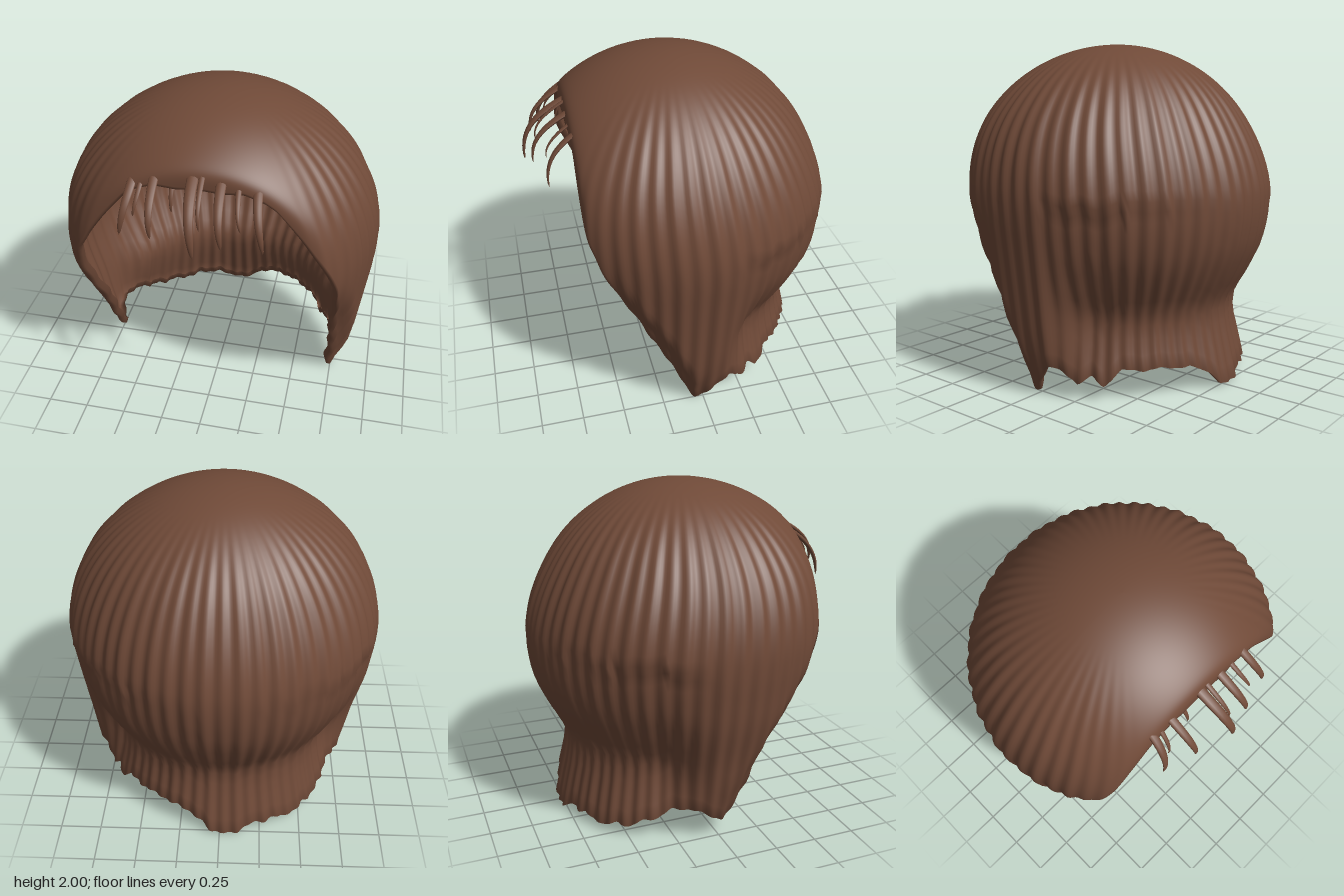
import * as THREE from 'three';

const { smoothstep, clamp, degToRad } = THREE.MathUtils;

// Piecewise-linear lookup in a list of [key, value] pairs
function lookup(pairs, k) {
  for (let i = 1; i < pairs.length; i++) {
    const [k0, v0] = pairs[i - 1], [k1, v1] = pairs[i];
    if (k <= k1) return v0 + (v1 - v0) * clamp((k - k0) / (k1 - k0), 0, 1);
  }
  return pairs[pairs.length - 1][1];
}

// Height of the lower edge by angle from the front, in degrees
const FACE_EDGE = [[0, 1.69], [10, 1.68], [20, 1.69], [28, 1.65], [32, 1.61], [40, 1.43],
  [46, 1.28], [50, 1.18], [54.6, 1.0], [60, 0.8], [65.6, 0.6], [76, 0.3]];
const HEM_LEFT = [...FACE_EDGE, [84, 0.03], [87, -0.02], [90, 0.05], [98, 0.2], [103, 0.17],
  [109, 0.09], [115, 0.15], [120, 0.08], [128, 0.19], [138, 0.17], [144, 0.19], [152, 0.17],
  [160, 0.17], [166, 0.13], [172, 0.09], [176, 0.02], [180, 0.01]];
const HEM_RIGHT = [...FACE_EDGE, [84, 0.12], [88, 0.09], [93, 0.13], [100, 0.2], [112, 0.2],
  [118, 0.13], [125, 0.12], [131, 0.06], [137, 0.08], [143, 0.04], [150, 0.05], [154, 0.08],
  [158, 0.05], [165, 0.07], [172, 0.01], [180, 0.01]];
const hemAt = (d) => lookup(d >= 0 ? HEM_LEFT : HEM_RIGHT, Math.abs(d));
const hem = (d) => (hemAt(d - 1) + 2 * hemAt(d) + hemAt(d + 1)) / 4;

// Radius below the widest level, for the side locks and for the nape
const SIDE = [[0, 0.8], [0.2, 0.84], [0.4, 0.87], [0.6, 0.895], [0.8, 0.92], [1, 0.945], [1.1, 0.95]];
const NAPE = [[0, 0.78], [0.2, 0.735], [0.32, 0.705], [0.45, 0.69], [0.52, 0.715], [0.6, 0.765],
  [0.7, 0.815], [0.8, 0.86], [0.9, 0.885], [1, 0.9], [1.1, 0.905]];

function shellPoint(deg, y, edgeY, inset) {
  const a = degToRad(deg), back = Math.max(0, -Math.cos(a)), ad = Math.abs(deg);
  let r;
  if (y >= 1.1) {
    r = 0.95 * Math.sqrt(Math.max(0, 1 - ((y - 1.1) / 0.9) ** 2)) * (1 - 0.045 * back);
  } else {
    const nape = smoothstep(ad, 95, 116);
    const side = lookup(SIDE, y) * (1 - 0.045 * back)
      - (deg < 0 ? 0.04 * (1 - smoothstep(y, 0.4, 0.8)) : 0);
    r = side * (1 - nape) + lookup(NAPE, y) * nape;
    // front edges of the side locks curl inward
    r -= 0.07 * (1 - smoothstep(y - edgeY, 0, 0.3)) * smoothstep(1.1 - y, 0, 0.5)
      * (1 - smoothstep(ad, 78, 100));
  }
  // combed flutes, fading out towards the crown and the forehead
  const flute = 0.008 * smoothstep(ad, 35, 70) * smoothstep(r, 0.3, 0.9);
  r += flute * (Math.sin(a * 56) + 0.4 * Math.sin(a * 23 + 1));
  const x = r * Math.sin(a);
  let z = r * Math.cos(a) + 0.04 * smoothstep(y, 1, 1.6);
  // the forehead side is flattened
  const k = 0.025;
  if (z > 0.4) z = -k * Math.log(Math.exp(-z / k) + Math.exp(-0.655 / k));
  const s = 1 - inset / Math.max(r, 0.1);
  return [x * s, y, z * s];
}

// Crown, side locks and nape as one swept shell with a turned-in rim
function hairShell() {
  const cols = 360, rows = 44, total = rows + 2;
  const pos = [], index = [];
  for (let i = 0; i <= total; i++) {
    for (let j = 0; j < cols; j++) {
      const deg = -180 + (360 * j) / cols, edge = hem(deg);
      const t = Math.min(i / rows, 1);
      const y = 2 - (2 - edge) * t * t;
      const lip = Math.max(0, i - rows);
      const p = shellPoint(deg, y, edge, [0, 0.025, 0.04][lip]);
      p[1] = Math.max(0, p[1] + [0, 0, 0.05][lip]);
      pos.push(...p);
      if (i < total) {
        const n = (j + 1) % cols;
        const A = i * cols + j, B = A + cols, C = (i + 1) * cols + n, D = i * cols + n;
        index.push(A, B, C);
        if (i > 0) index.push(A, C, D);
      }
    }
  }
  const g = new THREE.BufferGeometry();
  g.setAttribute('position', new THREE.Float32BufferAttribute(pos, 3));
  g.setIndex(index);
  g.computeVertexNormals();
  return g;
}

// Flat, tapering lock that arcs forward and down
function fringeStrand(rootX, rootY, tipX, tipY, tipZ, width) {
  const curve = new THREE.CubicBezierCurve3(
    new THREE.Vector3(rootX, rootY + 0.02, 0.55),
    new THREE.Vector3(rootX, rootY - 0.06, 0.55 + (tipZ - 0.55) * 0.6),
    new THREE.Vector3((rootX + tipX) / 2, rootY - 0.13, tipZ + 0.02),
    new THREE.Vector3(tipX, tipY, tipZ));
  const segs = 20, sides = 10;
  const g = new THREE.TubeGeometry(curve, segs, width, sides, false);
  const p = g.attributes.position, c = new THREE.Vector3();
  for (let i = 0; i < p.count; i++) {
    const u = Math.floor(i / (sides + 1)) / segs;
    curve.getPointAt(u, c);
    const taper = Math.sqrt(Math.max(0, 1 - u ** 2.2));
    p.setXYZ(i, c.x + (p.getX(i) - c.x) * taper,
      c.y + (p.getY(i) - c.y) * taper * 0.5,
      c.z + (p.getZ(i) - c.z) * taper * 0.5);
  }
  g.computeVertexNormals();
  return g;
}

export function createModel() {
  const group = new THREE.Group();
  group.name = 'hair';
  const brown = new THREE.MeshStandardMaterial({ color: 0x704a38, side: THREE.DoubleSide });
  brown.name = 'brown hair';

  const shell = new THREE.Mesh(hairShell(), brown);
  shell.name = 'hairShell';
  group.add(shell);

  // Fringe: root x, root y, tip x, tip y, tip z, half width
  const fringe = new THREE.Group();
  fringe.name = 'fringe';
  [
    [-0.36, 1.72, -0.41, 1.43, 0.77, 0.026],
    [-0.31, 1.74, -0.34, 1.53, 0.73, 0.015],
    [-0.24, 1.75, -0.22, 1.47, 0.83, 0.026],
    [-0.145, 1.76, -0.14, 1.55, 0.68, 0.015],
    [-0.03, 1.77, 0.02, 1.42, 0.89, 0.032],
    [0.02, 1.79, 0.04, 1.55, 0.82, 0.016],
    [0.12, 1.76, 0.16, 1.47, 0.85, 0.028],
    [0.21, 1.75, 0.25, 1.54, 0.78, 0.016],
    [0.31, 1.73, 0.37, 1.43, 0.79, 0.026],
  ].forEach((s) => {
    const strand = new THREE.Mesh(fringeStrand(...s), brown);
    strand.name = 'fringeStrand';
    fringe.add(strand);
  });
  group.add(fringe);
  return group;
}
